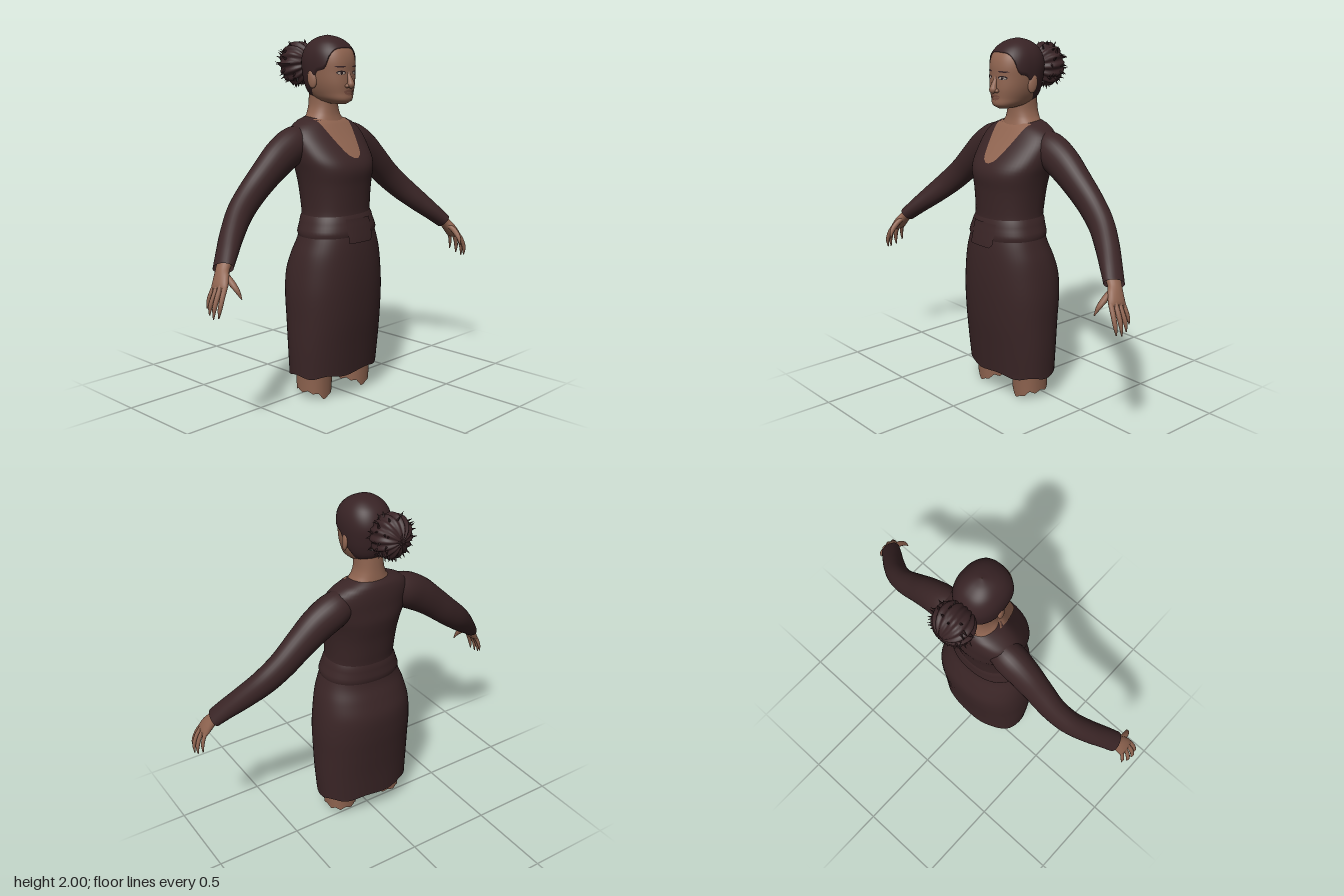
import * as THREE from 'three';

const mat = (name, color, side = THREE.FrontSide) => {
  const m = new THREE.MeshStandardMaterial({ color, side });
  m.name = name;
  return m;
};

// Grid surface from f(u, v); u may wrap round
function grid(name, material, nu, nv, closed, f) {
  const pos = [], idx = [], cols = closed ? nu : nu + 1;
  for (let j = 0; j <= nv; j++)
    for (let i = 0; i < cols; i++) pos.push(...f(i / nu, j / nv));
  for (let j = 0; j < nv; j++)
    for (let i = 0; i < nu; i++) {
      const a = j * cols + i, b = j * cols + (i + 1) % cols;
      idx.push(a, b, a + cols, b, b + cols, a + cols);
    }
  const g = new THREE.BufferGeometry();
  g.setAttribute('position', new THREE.Float32BufferAttribute(pos, 3));
  g.setIndex(idx);
  g.computeVertexNormals();
  const mesh = new THREE.Mesh(g, material);
  mesh.name = name;
  return mesh;
}

// Smooth lookup in rows of [key, ...values]
function at(rows, key) {
  const n = rows.length - 1;
  const k = Math.min(Math.max(key, rows[0][0]), rows[n][0]);
  let i = 0;
  while (i < n - 1 && k > rows[i + 1][0]) i++;
  const h = rows[i + 1][0] - rows[i][0], t = (k - rows[i][0]) / h;
  const slope = (j, c) => {
    const p = rows[Math.max(j - 1, 0)], q = rows[Math.min(j + 1, n)];
    return (q[c] - p[c]) / (q[0] - p[0]);
  };
  return rows[0].slice(1).map((_, m) => {
    const c = m + 1, a = rows[i][c], b = rows[i + 1][c], s = t * t * (3 - 2 * t);
    return a + (b - a) * s + h * (slope(i, c) * t * (1 - t) ** 2 - slope(i + 1, c) * t * t * (1 - t));
  });
}

// Point on a body section; rows hold [y, half width, front z, back z]
const P = 0.88;
function section(rows, y, a, k = 1) {
  const [hw, zf, zb] = at(rows, y), c = (zf + zb) / 2, d = (zf - zb) / 2;
  const pw = v => Math.sign(v) * Math.abs(v) ** P;
  return [k * hw * pw(Math.sin(a)), y, c + k * d * pw(Math.cos(a))];
}
const TAU = Math.PI * 2;
const loft = (name, m, rows, y0, y1, nv, hem = () => 0) =>
  grid(name, m, 56, nv, true, (u, v) => section(rows, y0 + (y1 - y0) * v + hem(u * TAU) * (1 - v) ** 4, u * TAU));

// Thin plate that follows the front of a body surface
function patch(name, m, rows, y0, y1, range, k) {
  return grid(name, m, 16, 14, false, (u, v) => {
    const y = y0 + (y1 - y0) * v, [a, b] = range(y), x = a + (b - a) * u;
    const s = Math.min(1, Math.abs(x) / at(rows, y)[0]) ** (1 / P);
    return section(rows, y, Math.sign(x) * Math.asin(s), k);
  });
}
const oval = (cx, cy, a, b) => y => {
  const w = a * Math.sqrt(Math.max(0, 1 - ((y - cy) / b) ** 2));
  return [cx - w, cx + w];
};

// Limb through points [x, y, z, thickness radius, depth radius]; s mirrors it
function limb(name, m, pts, s = 1, nu = 20, nv = 28) {
  const curve = new THREE.CatmullRomCurve3(pts.map(p => new THREE.Vector3(s * p[0], p[1], p[2])));
  const radii = pts.map((p, i) => [i / (pts.length - 1), p[3], p[4] ?? p[3]]);
  return grid(name, m, nu, nv, true, (u, v) => {
    const T = curve.getTangent(v), A = new THREE.Vector3(0, 0, 1);
    A.addScaledVector(T, -A.dot(T)).normalize();
    const B = T.clone().cross(A), [r, d] = at(radii, v);
    return curve.getPoint(v).addScaledVector(A, d * Math.cos(u * TAU)).addScaledVector(B, r * Math.sin(u * TAU)).toArray();
  });
}

const DRESS = [
  [0.14, .29, .24, -.11], [0.3, .298, .258, -.12], [0.45, .3, .275, -.135], [0.6, .3, .285, -.15],
  [0.72, .288, .287, -.15], [0.82, .268, .283, -.12], [0.9, .24, .275, -.09], [0.97, .215, .262, -.08],
  [1.03, .2, .25, -.08], [1.1, .2, .25, -.09], [1.2, .21, .255, -.105], [1.28, .225, .262, -.122],
  [1.33, .238, .245, -.13], [1.4, .248, .19, -.13], [1.46, .245, .14, -.13], [1.51, .215, .1, -.125],
  [1.545, .15, .07, -.115], [1.56, .1, .04, -.1]];
const HEAD = [
  [1.632, .03, .15, .05], [1.65, .07, .178, -.03], [1.69, .096, .18, -.085], [1.74, .113, .183, -.105],
  [1.8, .122, .18, -.115], [1.86, .125, .178, -.12], [1.91, .117, .163, -.108], [1.95, .097, .133, -.085],
  [1.975, .072, .1, -.055], [1.99, .045, .065, -.025], [1.997, .02, .035, .002], [2, .002, .019, .015]];
const NECK = [[1.48, .13, .1, -.1], [1.545, .115, .077, -.102], [1.57, .095, .07, -.1], [1.62, .078, .066, -.095], [1.72, .076, .07, -.09]];
const THIGH = [[0, .09, .16, -.03], [0.14, .096, .167, -.035], [0.55, .125, .2, -.07]];
const NECKLINE = [[1.345, .012], [1.355, .035], [1.38, .055], [1.43, .078], [1.49, .1], [1.55, .118]];
const HAIRLINE = [[0, 1.93], [30, 1.922], [48, 1.89], [62, 1.825], [84, 1.8], [95, 1.74], [120, 1.675], [150, 1.655], [180, 1.655]];

export function createModel() {
  const model = new THREE.Group();
  model.name = 'woman';
  const skin = mat('skin', 0x8f6450, THREE.DoubleSide);
  const cloth = mat('dress cloth', 0x3a2526, THREE.DoubleSide);
  const hair = mat('hair', 0x382325, THREE.DoubleSide);
  const lip = mat('lips', 0x7c5042);
  const dark = mat('eye dark', 0x24181a);
  const white = mat('eye white', 0xa99a90);
  const add = (...m) => model.add(...m);

  // Dress, sash and skin shown in the neckline
  add(loft('dress', cloth, DRESS, 0.14, 1.56, 80, a => 0.008 * Math.sin(7 * a)));
  add(grid('sash', cloth, 56, 6, true, (u, v) => {
    const k = [1, 1.05, 1.055, 1.05, 1.045, 1.04, 1][Math.round(v * 6)];
    return section(DRESS, 0.925 + 0.115 * v + 0.008 * Math.sin(u * TAU), u * TAU, k);
  }));
  add(patch('sashEnd', cloth, DRESS, 0.89, 1.02, y => [-.09, .08 - Math.max(0, .91 - y)], 1.07));
  add(patch('chest', skin, DRESS, 1.345, 1.55, y => { const w = at(NECKLINE, y)[0]; return [-w, w]; }, 1.025));
  add(loft('neck', skin, NECK, 1.48, 1.72, 16));

  // Head, with hair falling to the hairline
  add(loft('head', skin, HEAD, 1.632, 2, 44));
  add(grid('hairCap', hair, 72, 28, true, (u, v) => {
    const deg = u * 360, low = at(HAIRLINE, deg > 180 ? 360 - deg : deg)[0];
    const y = low + (2 - low) * Math.sin(v * Math.PI / 2);
    return section(HEAD, y, u * TAU, v === 0 ? 1 : 1.055);
  }));

  // Face
  add(limb('nose', skin, [[0, 1.82, .168, .006], [0, 1.785, .178, .012], [0, 1.75, .19, .018], [0, 1.732, .193, .021], [0, 1.72, .182, .003]], 1, 16, 16));
  add(patch('upperLip', lip, HEAD, 1.696, 1.71, y => oval(0, 1.696, .036, .014)(y), 1.03));
  add(patch('lowerLip', lip, HEAD, 1.679, 1.694, y => oval(0, 1.694, .032, .015)(y), 1.035));
  const ball = new THREE.SphereGeometry(1, 20, 14);
  for (const s of [-1, 1]) {
    const x = s * .05;
    add(patch('eyeSocketLine', dark, HEAD, 1.789, 1.811, oval(x, 1.8, .025, .011), 1.012));
    add(patch('eyeWhite', white, HEAD, 1.791, 1.805, oval(x, 1.798, .02, .007), 1.02));
    add(patch('iris', dark, HEAD, 1.791, 1.805, oval(x, 1.798, .007, .007), 1.028));
    add(patch('eyebrow', hair, HEAD, 1.828, 1.836, oval(x * 1.06, 1.832, .03, .004), 1.012));
    const wing = new THREE.Mesh(ball, skin);
    wing.name = 'nostril';
    wing.position.set(s * .019, 1.73, .184);
    wing.scale.set(.012, .011, .014);
    const ear = new THREE.Mesh(ball, skin);
    ear.name = 'ear';
    ear.position.set(s * .122, 1.765, .022);
    ear.scale.set(.014, .05, .028);
    ear.rotation.set(-.15, s * -.3, 0);
    add(wing, ear);
  }

  // Ribbed bun with loose spiky ends
  const bun = new THREE.Group();
  bun.name = 'hairBun';
  bun.position.set(-.015, 1.845, -.195);
  const shape = new THREE.SphereGeometry(1, 72, 24).rotateX(Math.PI / 2);
  const p = shape.attributes.position;
  for (let i = 0; i < p.count; i++) {
    const x = p.getX(i), y = p.getY(i), z = p.getZ(i);
    const k = 1 + .07 * Math.hypot(x, y) * Math.cos(14 * Math.atan2(y, x) + 2 * z);
    p.setXYZ(i, x * k * .108, y * k * .115, z * k * .1);
  }
  shape.computeVertexNormals();
  const core = new THREE.Mesh(shape, hair);
  core.name = 'bunCore';
  bun.add(core);
  let seed = 7;
  const rnd = () => (seed = (seed * 16807) % 2147483647) / 2147483647;
  const spike = new THREE.ConeGeometry(.011, .05, 5);
  for (let i = 0; i < 60; i++) {
    const a = rnd() * TAU, z = rnd() * 1.3 - .75, r = Math.sqrt(1 - z * z);
    const d = new THREE.Vector3(Math.cos(a) * r, Math.sin(a) * r, z);
    const m = new THREE.Mesh(spike, hair);
    m.name = 'hairSpike';
    m.position.set(d.x * .115, d.y * .115, d.z * .098);
    d.x += (rnd() - .5) * .9;
    d.y += (rnd() - .5) * .9;
    m.quaternion.setFromUnitVectors(new THREE.Vector3(0, 1, 0), d.normalize());
    bun.add(m);
  }
  add(bun);

  // Arms, hands and legs on both sides
  const fingers = {
    indexFinger: [[.92, .81, .235, .013], [.955, .755, .25, .013], [.976, .7, .255, .011], [.98, .655, .25, .003]],
    middleFinger: [[.93, .81, .215, .013], [.965, .755, .224, .013], [.986, .7, .226, .011], [.99, .648, .222, .003]],
    ringFinger: [[.93, .81, .19, .013], [.963, .755, .194, .012], [.982, .705, .19, .011], [.985, .66, .186, .003]],
    littleFinger: [[.925, .81, .165, .012], [.952, .765, .162, .011], [.966, .725, .155, .009], [.97, .685, .15, .003]],
    thumb: [[.89, .85, .195, .014], [.892, .815, .245, .017], [.886, .78, .28, .013], [.875, .74, .298, .003]],
  };
  for (const s of [-1, 1]) {
    add(limb('sleeve', cloth, [[.13, 1.44, -.02, .08, .07], [.22, 1.415, -.02, .1, .09], [.32, 1.36, -.018, .1, .085],
      [.43, 1.275, -.015, .088, .075], [.54, 1.18, -.01, .08, .067], [.64, 1.095, .015, .074, .064],
      [.74, 1.005, .07, .063, .062], [.82, .93, .125, .05, .06], [.878, .872, .165, .04, .058]], s, 28, 48));
    add(limb('palm', skin, [[.86, .895, .155, .032, .042], [.888, .862, .17, .028, .04], [.91, .83, .187, .026, .048],
      [.932, .795, .2, .021, .052], [.948, .772, .205, .006, .045]], s));
    for (const [name, pts] of Object.entries(fingers)) add(limb(name, skin, pts, s, 10, 12));
    // Thigh ends in a ragged edge
    const leg = grid('thigh', skin, 36, 20, true, (u, v) => {
      const a = u * TAU, tip = Math.max(0, Math.cos(a)) ** 8;
      const low = .042 - .04 * tip + .008 * Math.sin(9 * a);
      return section(THIGH, low + (.55 - low) * v, a);
    });
    leg.position.x = s * .155;
    add(leg);
  }
  return model;
}
